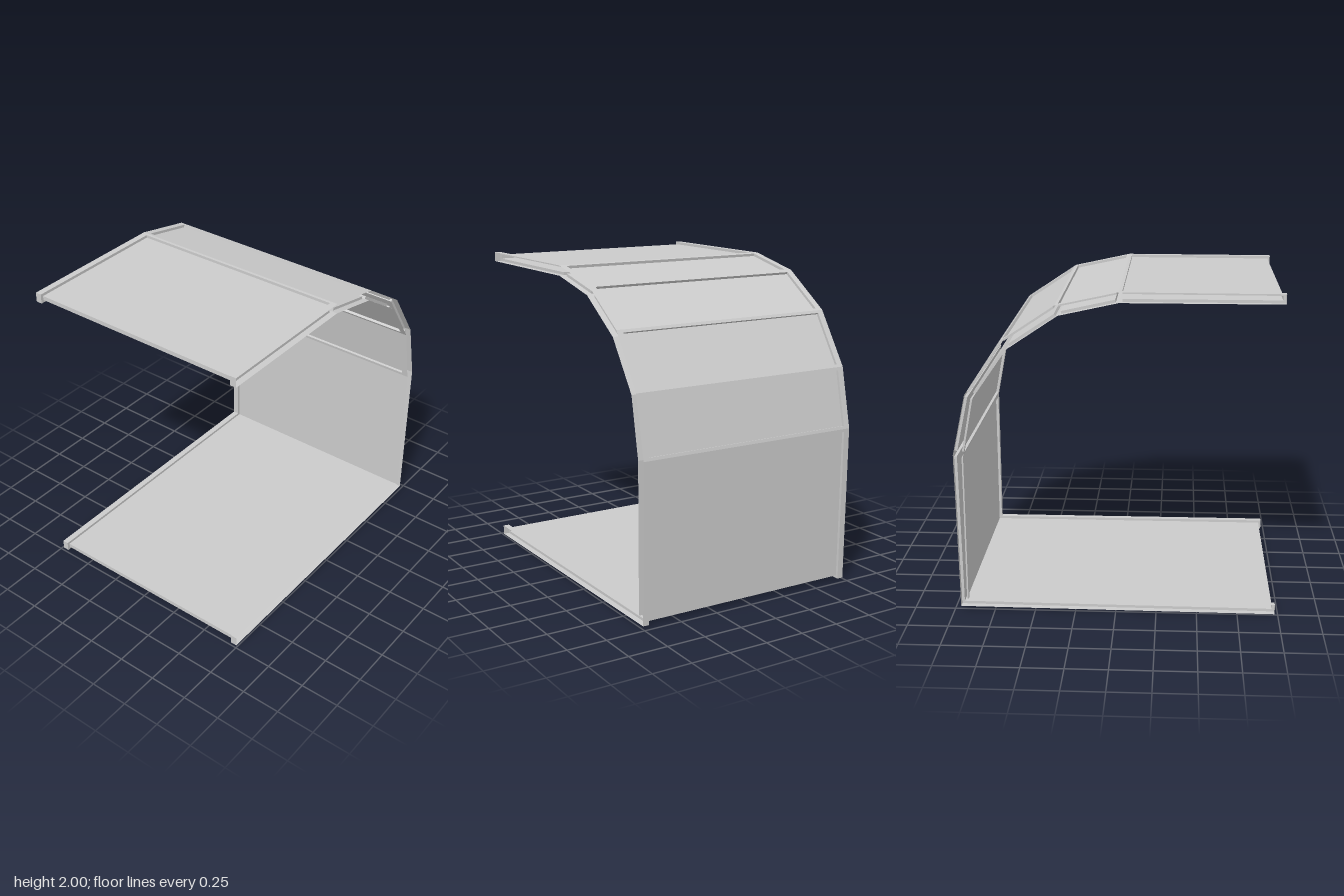
import * as THREE from 'three';

const OUT = 0.74;     // half width of the frame
const IN = 0.70;      // half width of the recessed panels
const DEPTH = 0.017;  // recess depth
const BORDER = 0.019; // frame border on each side of a joint

// Closed side profile [z, y, joint]: outer skin front to back, then inner skin.
// A joint is a crease that carries a cross bar.
const PROFILE = [
  [0.02, 2.0, 1], [-0.353, 1.92, 1], [-0.682, 1.702, 1], [-0.898, 1.376, 1], [-0.98, 1.0, 1],
  [-0.966, 0.012, 0], [0.982, 0, 0], [0.982, 0.061, 0], [-0.918, 0.061, 0],
  [-0.918, 0.992, 1], [-0.848, 1.358, 1], [-0.64, 1.656, 1], [-0.335, 1.859, 1], [0.02, 1.937, 1],
  [0.982, 1.937, 0], [0.982, 1.997, 0],
].map(([z, y, joint]) => ({ p: new THREE.Vector2(z, y), joint }));

// Collects flat quads given as four [x, z/y point] corners
class Sheet {
  constructor() { this.pos = []; }
  quad(...c) {
    for (const i of [0, 1, 2, 0, 2, 3]) this.pos.push(c[i][0], c[i][1].y, c[i][1].x);
  }
  // band across x from x0 to x1, running from p to q
  band(x0, x1, p, q) { this.quad([x0, p], [x1, p], [x1, q], [x0, q]); }
  mesh(name, material) {
    const g = new THREE.BufferGeometry();
    g.setAttribute('position', new THREE.Float32BufferAttribute(this.pos, 3));
    g.computeVertexNormals();
    const m = new THREE.Mesh(g, material);
    m.name = name;
    return m;
  }
}

const toward = (a, b, d) => a.clone().add(b.clone().sub(a).setLength(d));

// Moves an open chain of points toward the inside of the wall, with mitred corners
function inset(chain, d) {
  const normals = chain.slice(1).map((q, i) => {
    const t = q.clone().sub(chain[i]).normalize();
    return new THREE.Vector2(-t.y, t.x);
  });
  return chain.map((p, i) => {
    const a = normals[Math.max(i - 1, 0)];
    const b = normals[Math.min(i, normals.length - 1)];
    return p.clone().addScaledVector(a.clone().add(b), d / (1 + a.dot(b)));
  });
}

export function createModel() {
  const group = new THREE.Group();
  const material = new THREE.MeshStandardMaterial({
    color: 0xcccccc, flatShading: true, side: THREE.DoubleSide,
  });
  const n = PROFILE.length;
  const at = (i) => PROFILE[(i + n) % n];

  // side rails, following the whole profile
  for (const [name, x0, x1] of [['leftRail', IN, OUT], ['rightRail', -OUT, -IN]]) {
    const rail = new Sheet();
    for (let i = 0; i < n; i++) rail.band(x0, x1, at(i).p, at(i + 1).p);
    group.add(rail.mesh(name, material));
  }

  // cross bars over the joints
  const bars = new Sheet();
  for (let i = 0; i < n; i++) {
    if (!at(i).joint) continue;
    const p = at(i).p;
    bars.band(-IN, IN, toward(p, at(i - 1).p, BORDER), p);
    bars.band(-IN, IN, p, toward(p, at(i + 1).p, BORDER));
  }
  group.add(bars.mesh('crossBars', material));

  // recessed panels between neighbouring joints
  for (let i = 0; i < n; i++) {
    if (!at(i).joint) continue;
    const chain = [toward(at(i).p, at(i + 1).p, BORDER)];
    let j = i + 1;
    while (!at(j).joint) chain.push(at(j++).p);
    chain.push(toward(at(j).p, at(j - 1).p, BORDER));
    const low = inset(chain, DEPTH);
    const last = chain.length - 1;

    const panel = new Sheet();
    for (let k = 0; k < last; k++) {
      const [p, q, pl, ql] = [chain[k], chain[k + 1], low[k], low[k + 1]];
      panel.band(-IN, IN, pl, ql);
      panel.quad([-IN, p], [-IN, pl], [-IN, ql], [-IN, q]);
      panel.quad([IN, p], [IN, q], [IN, ql], [IN, pl]);
    }
    panel.band(-IN, IN, chain[0], low[0]);
    panel.band(-IN, IN, low[last], chain[last]);
    const name = last === 1 ? 'curvePanel' : i < 7 ? 'floorAndBackPanel' : 'roofPanel';
    group.add(panel.mesh(name, material));
  }
  return group;
}
